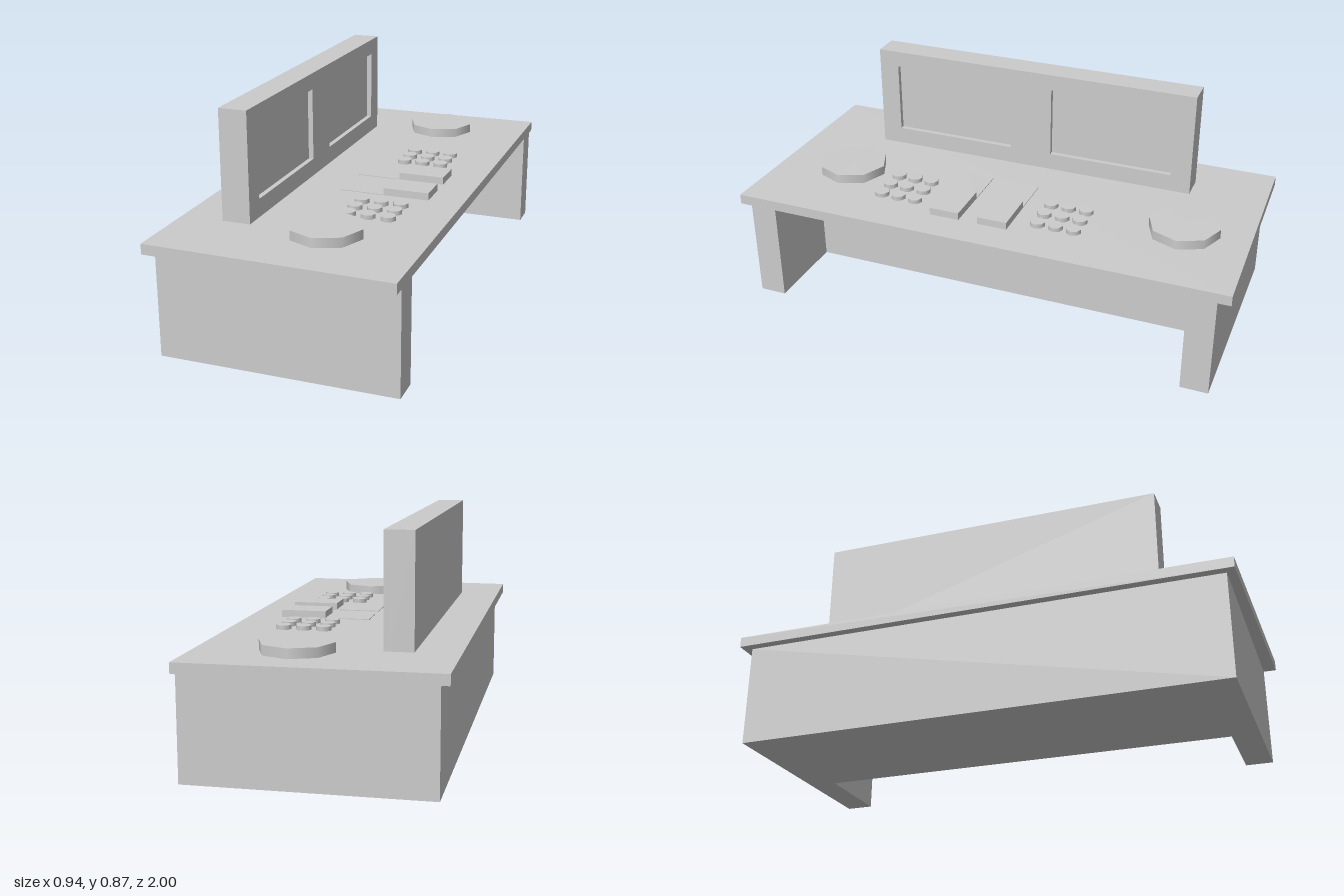
import * as THREE from 'three';

const material = new THREE.MeshStandardMaterial({ color: 0xcccccc });

export function createModel() {
  const desk = new THREE.Group();
  desk.name = 'controlDesk';
  const TOP = 0.44;

  const add = (name, geometry, x = 0, y = 0, z = 0) => {
    const mesh = new THREE.Mesh(geometry, material);
    mesh.name = name;
    mesh.position.set(x, y, z);
    desk.add(mesh);
    return mesh;
  };
  // Box given by its minimum and maximum on each axis
  const box = (name, x0, x1, y0, y1, z0, z1) =>
    add(name, new THREE.BoxGeometry(x1 - x0, y1 - y0, z1 - z0), (x0 + x1) / 2, (y0 + y1) / 2, (z0 + z1) / 2);
  const polygon = (points) => new THREE.Shape(points.map(([u, v]) => new THREE.Vector2(u, v)));
  const extrude = (shape, depth) => new THREE.ExtrudeGeometry(shape, { depth, bevelEnabled: false });

  // U-shaped base: deep rear body with a side panel at each end
  const plan = polygon([
    [-0.435, -0.95], [0.47, -0.95], [0.47, -0.842], [0.12, -0.842],
    [0.12, 0.842], [0.47, 0.842], [0.47, 0.95], [-0.435, 0.95],
  ]);
  add('base', extrude(plan, 0.4).rotateX(-Math.PI / 2));

  // Desktop, slightly narrower at the monitor side
  const top = polygon([[-0.47, -0.983], [0.47, -1], [0.47, 1], [-0.47, 0.985]]);
  add('desktop', extrude(top, 0.04).rotateX(-Math.PI / 2), 0, 0.4, 0);

  // Monitor: backing slab and a frame with two recessed screens
  box('monitorBody', -0.305, -0.215, TOP, 0.865, -0.685, 0.685);
  const rect = (u0, u1, v0, v1) => [[u0, v0], [u1, v0], [u1, v1], [u0, v1]];
  const frame = polygon(rect(-0.685, 0.685, TOP, 0.865));
  for (const u of [-0.602, 0.088]) frame.holes.push(polygon(rect(u, u + 0.514, 0.51, 0.8)));
  add('monitorFrame', extrude(frame, 0.02).rotateY(Math.PI / 2), -0.215, 0, 0);

  // Large eight-sided discs
  for (const z of [-0.737, 0.679]) {
    add('disc', new THREE.CylinderGeometry(0.139, 0.139, 0.037, 8), 0.1, TOP + 0.0185, z);
  }

  // Two three-by-three button pads
  const buttonGeometry = new THREE.CylinderGeometry(0.03, 0.03, 0.017, 8);
  for (const z of [-0.272, 0.395]) {
    for (let i = -1; i <= 1; i++) {
      for (let j = -1; j <= 1; j++) {
        add('button', buttonGeometry, 0.179 + i * 0.078, TOP + 0.0085, z + j * 0.073);
      }
    }
  }

  // Flat plates with raised levers in front
  for (const z of [-0.1, 0.1]) {
    box('plate', -0.026, 0.152, TOP, TOP + 0.003, z, z + 0.121);
    box('lever', 0.152, 0.334, TOP, TOP + 0.029, z, z + 0.121);
  }

  return desk;
}
